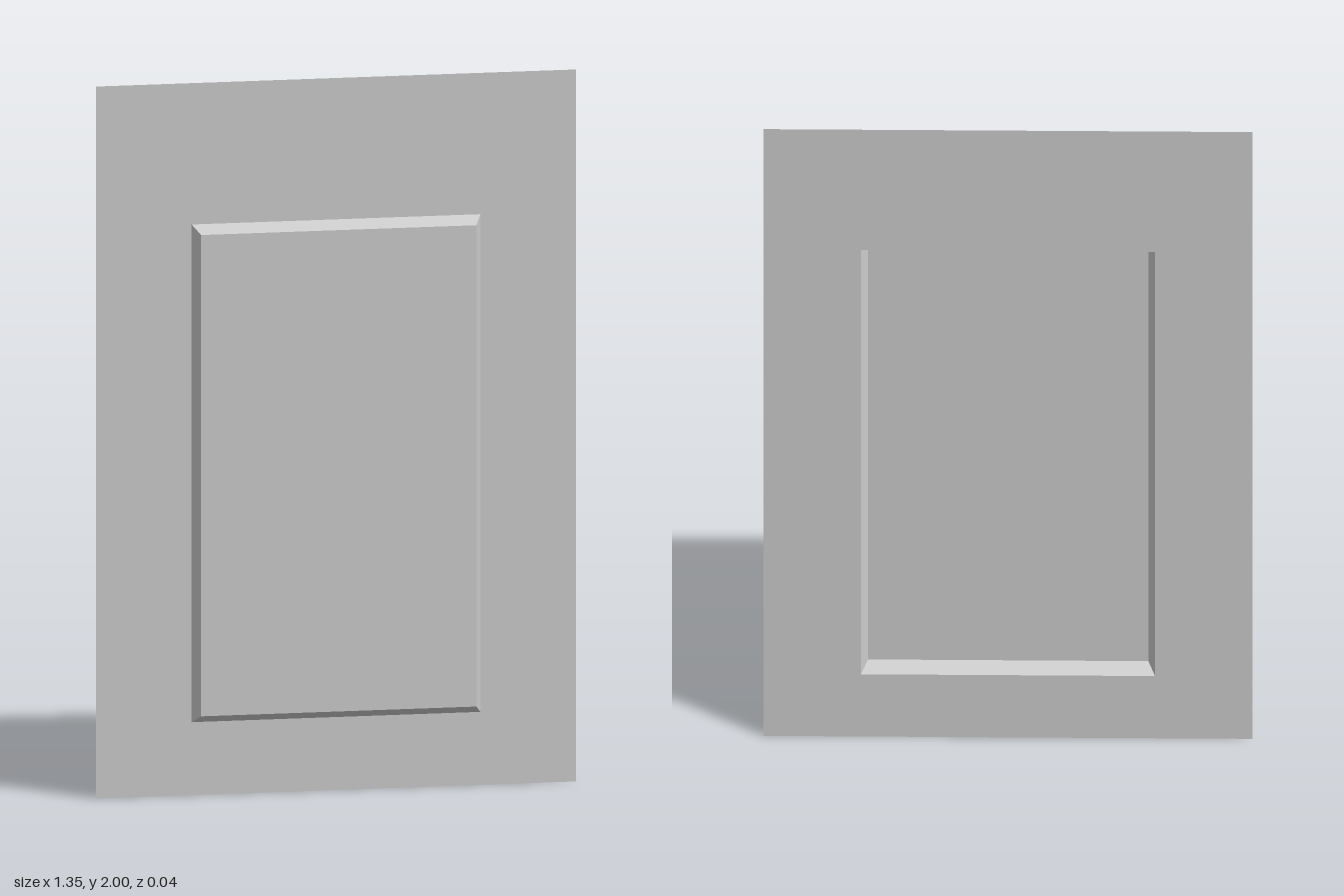
import * as THREE from 'three';

const BACK = -0.02, FRONT = 0.02;
const material = new THREE.MeshStandardMaterial({ color: 0xcccccc, flatShading: true, side: THREE.DoubleSide });

// Corners of an upright rectangle, counter-clockwise seen from the front
const rectangle = (halfWidth, bottom, top, z) => [
  [-halfWidth, bottom, z], [halfWidth, bottom, z], [halfWidth, top, z], [-halfWidth, top, z],
];

// Four mitred faces joining an outer rectangle to an inner one
function band(name, outer, inner) {
  const positions = [];
  for (let i = 0; i < 4; i++) {
    const j = (i + 1) % 4;
    positions.push(...outer[i], ...outer[j], ...inner[j], ...outer[i], ...inner[j], ...inner[i]);
  }
  const geometry = new THREE.BufferGeometry();
  geometry.setAttribute('position', new THREE.Float32BufferAttribute(positions, 3));
  geometry.computeVertexNormals();
  const mesh = new THREE.Mesh(geometry, material);
  mesh.name = name;
  return mesh;
}

export function createModel() {
  const group = new THREE.Group();
  group.name = 'raisedPanelSheet';

  const edge = rectangle(0.675, 0, 2, BACK);
  const opening = rectangle(0.406, 0.205, 1.603, BACK);
  const rim = rectangle(0.387, 0.228, 1.58, FRONT);

  // Flat surround and the sloping sides of the raised panel
  group.add(band('surround', edge, opening), band('bevel', opening, rim));

  // Raised face, hollow behind
  const panel = new THREE.Mesh(new THREE.PlaneGeometry(0.774, 1.352), material);
  panel.name = 'panel';
  panel.position.set(0, 0.904, FRONT);
  group.add(panel);

  return group;
}
